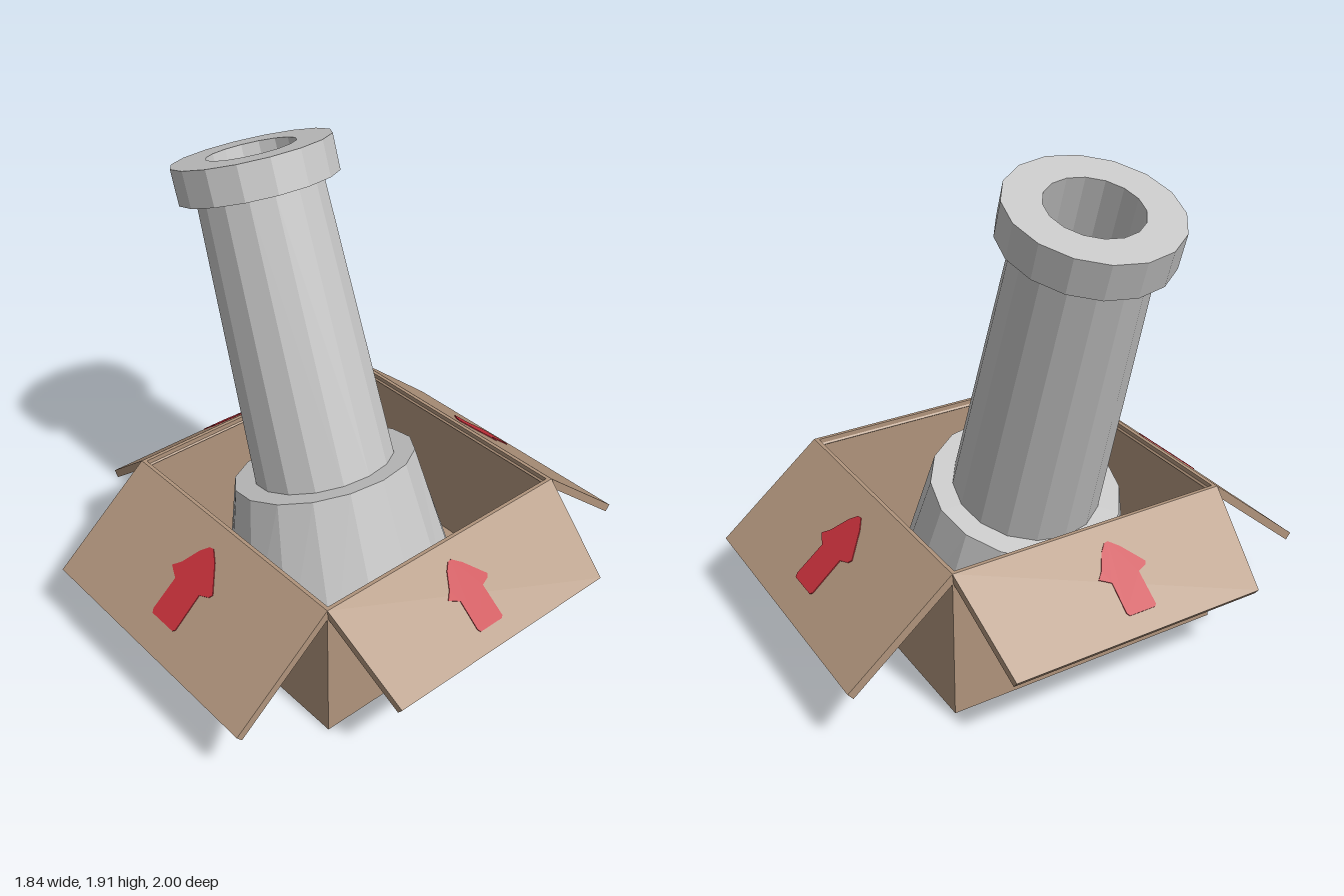
import * as THREE from 'three';

const cardboard = new THREE.MeshStandardMaterial({ color: 0xb0947c, flatShading: true });
cardboard.name = 'cardboard';
const grey = new THREE.MeshStandardMaterial({ color: 0xc6c6c6, flatShading: true });
grey.name = 'paleGrey';
const red = new THREE.MeshStandardMaterial({ color: 0xc4303a, flatShading: true });
red.name = 'arrowRed';

const HALF = 0.585, HEIGHT = 0.6, WALL = 0.015, SIDES = 16;

function addMesh(parent, name, geometry, material, x = 0, y = 0, z = 0) {
  const mesh = new THREE.Mesh(geometry, material);
  mesh.name = name;
  mesh.position.set(x, y, z);
  parent.add(mesh);
  return mesh;
}

function slab(points, depth) {
  const shape = new THREE.Shape(points.map(([x, y]) => new THREE.Vector2(x, y)));
  return new THREE.ExtrudeGeometry(shape, { depth, bevelEnabled: false });
}

// Slightly hand-cut arrow pointing at the hinge
const arrowGeometry = slab([
  [0, 0.088], [0.045, 0.125], [0.128, 0.222], [0.118, 0.238], [0.075, 0.255], [0.08, 0.41],
  [0.07, 0.42], [-0.06, 0.42], [-0.07, 0.405], [-0.07, 0.265], [-0.122, 0.235], [-0.09, 0.2],
  [-0.05, 0.125], [-0.02, 0.092],
], 0.004);

// Flap hanging from a wall's top edge: local y runs away from the hinge, -z is outside
function makeFlap(name, length, endHalf, drop, arrowScale, arrowX) {
  const flap = new THREE.Group();
  flap.name = name;
  flap.position.set(0, HEIGHT, HALF);
  flap.rotation.x = Math.PI / 2 + drop;
  addMesh(flap, 'flapPanel',
    slab([[-HALF, 0], [HALF, 0], [endHalf, length], [-endHalf, length]], 0.033), cardboard);
  const arrow = addMesh(flap, 'flapArrow', arrowGeometry, red, arrowX, -0.008 * (arrowScale < 1), -0.004);
  arrow.scale.set(arrowScale, arrowScale, 1);
  return flap;
}

function makeBox() {
  const box = new THREE.Group();
  box.name = 'openBox';
  addMesh(box, 'boxFloor', new THREE.BoxGeometry(2 * HALF, WALL, 2 * HALF), cardboard, 0, WALL / 2, 0);
  ['front', 'left', 'back', 'right'].forEach((side, i) => {
    const panel = new THREE.Group();
    panel.name = side + 'Side';
    panel.rotation.y = i * Math.PI / 2;
    addMesh(panel, side + 'Wall', new THREE.BoxGeometry(2 * HALF, HEIGHT, WALL), cardboard,
      0, HEIGHT / 2, HALF - WALL / 2);
    panel.add(i % 2 === 0
      ? makeFlap(side + 'Flap', 0.54, HALF, 0.693, 1, 0)
      : makeFlap(side + 'Flap', 0.428, 0.53, 0.67, 0.85, i === 1 ? -0.03 : 0.03));
    box.add(panel);
  });
  return box;
}

function makePipe() {
  const pipe = new THREE.Group();
  pipe.name = 'leaningPipe';
  const tilt = 0.32, pivot = new THREE.Vector3(-0.13, 0.56, 0);

  // Foot: flat ring on the box floor lofted to the tilted upper ring
  const foot = new THREE.CylinderGeometry(0.38, 0.497, 1, SIDES);
  const pos = foot.attributes.position, v = new THREE.Vector3();
  const axis = new THREE.Vector3(0, 0, 1);
  for (let i = 0; i < pos.count; i++) {
    v.fromBufferAttribute(pos, i);
    if (v.y > 0) v.setY(0).applyAxisAngle(axis, tilt).add(pivot);
    else v.y = WALL + 0.003;
    pos.setXYZ(i, v.x, v.y, v.z);
  }
  foot.computeVertexNormals();
  addMesh(pipe, 'pipeFoot', foot, grey);

  // Tapered column, rim and deep bore turned as one profile
  const profile = [[0.293, 0], [0.252, 1.17], [0.318, 1.17], [0.318, 1.312], [0.178, 1.312], [0.178, 0.3], [0, 0.3]];
  const column = addMesh(pipe, 'pipeColumn',
    new THREE.LatheGeometry(profile.map(([r, y]) => new THREE.Vector2(r, y)), SIDES).toNonIndexed(), grey);
  column.geometry.computeVertexNormals();
  column.position.copy(pivot);
  column.rotation.z = tilt;
  return pipe;
}

export function createModel() {
  const model = new THREE.Group();
  model.name = 'pipeInBox';
  model.add(makeBox(), makePipe());
  return model;
}
